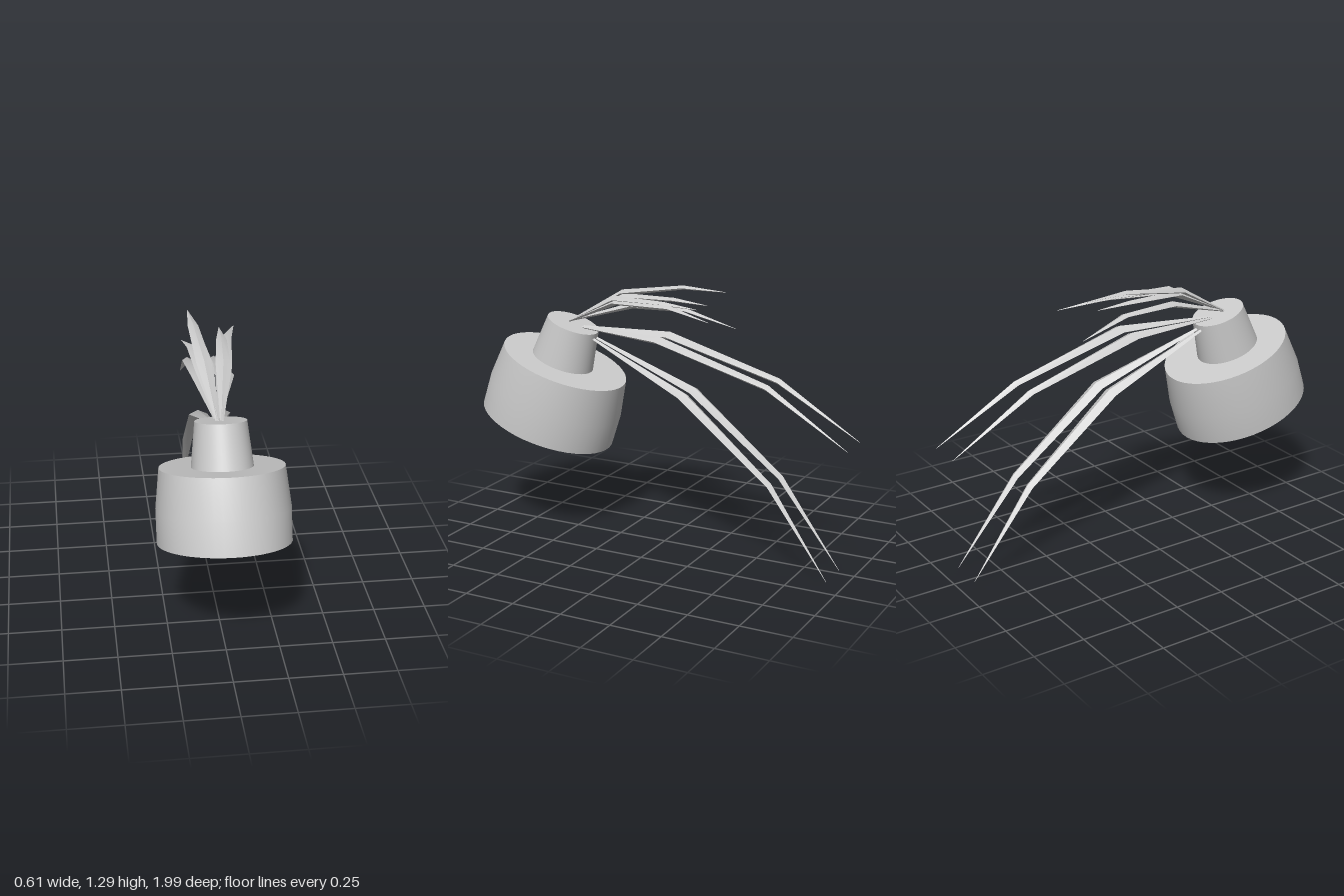
import * as THREE from 'three';
import { toCreasedNormals } from 'three/addons/utils/BufferGeometryUtils.js';

const material = new THREE.MeshStandardMaterial({ color: 0xcccccc, side: THREE.DoubleSide });

// Closed, slightly oval turned solid from [radius, height] pairs
function turned(name, profile) {
  const points = profile.map(([r, y]) => new THREE.Vector2(r, y));
  const geometry = new THREE.LatheGeometry(points, 48).scale(0.87, 1, 1);
  const mesh = new THREE.Mesh(toCreasedNormals(geometry, 0.6), material);
  mesh.name = name;
  return mesh;
}

// Tapering diamond-section blade through [x, y, z] stations
function feather(name, stations, widths, depths) {
  const path = stations.map((s) => new THREE.Vector3(...s));
  const positions = [];
  const index = [];
  path.forEach((p, i) => {
    const before = path[Math.max(i - 1, 0)];
    const after = path[Math.min(i + 1, path.length - 1)];
    const tangent = after.clone().sub(before).normalize();
    const side = new THREE.Vector3(1, 0, 0).addScaledVector(tangent, -tangent.x).normalize();
    const up = new THREE.Vector3().crossVectors(side, tangent);
    if (up.y < 0) up.negate();
    for (let k = 0; k < 4; k++) {
      const a = (k * Math.PI) / 2;
      const v = p.clone()
        .addScaledVector(side, Math.cos(a) * widths[i] / 2)
        .addScaledVector(up, Math.sin(a) * depths[i] / 2);
      positions.push(v.x, v.y, v.z);
      if (i > 0) {
        const n = (k + 1) % 4, q = (i - 1) * 4, r = i * 4;
        index.push(q + k, q + n, r + n, q + k, r + n, r + k);
      }
    }
  });
  const geometry = new THREE.BufferGeometry();
  geometry.setAttribute('position', new THREE.Float32BufferAttribute(positions, 3));
  geometry.setIndex(index);
  const mesh = new THREE.Mesh(toCreasedNormals(geometry, 0.6), material);
  mesh.name = name;
  return mesh;
}

export function createModel() {
  const model = new THREE.Group();

  // Tilted drum with a narrower neck on top
  const base = new THREE.Group();
  base.name = 'base';
  base.position.set(0, 0.537, 0.667);
  base.rotation.x = -0.32;
  const drum = turned('drum', [[0, 0], [0.351, 0], [0.351, 0.155], [0.326, 0.342], [0, 0.342]]);
  const neck = turned('neck', [[0, 0.335], [0.162, 0.335], [0.135, 0.547], [0, 0.547]]);
  neck.position.z = 0.015;
  base.add(drum, neck);
  model.add(base);

  // Two pairs of long drooping feathers
  const longWidths = [0.012, 0.09, 0.052, 0.002];
  const longDepths = [0.01, 0.04, 0.03, 0.002];
  const pairs = [
    ['lowerLongFeather', [[1.02, 0.46], [0.785, -0.14], [0.415, -0.6], [0, -0.91]]],
    ['upperLongFeather', [[1.045, 0.46], [1.045, -0.01], [0.885, -0.58], [0.645, -0.99]]],
  ];
  const courses = { Right: [-0.02, -0.03, -0.037, -0.035], Left: [0.0, 0.085, 0.1, 0.13] };
  for (const [name, course] of pairs) {
    for (const [sideName, xs] of Object.entries(courses)) {
      const stations = course.map(([y, z], i) => [xs[i], y, z]);
      model.add(feather(name + sideName, stations, longWidths, longDepths));
    }
  }

  // Short upright crest fanning out from the neck
  const crest = [
    [[-0.02, 1.07, 0.53], [-0.045, 1.23, 0.25], [-0.06, 1.28, -0.07], [-0.065, 1.275, -0.29]],
    [[-0.015, 1.07, 0.53], [-0.035, 1.215, 0.24], [-0.04, 1.22, -0.03], [-0.03, 1.21, -0.21]],
    [[0.0, 1.07, 0.53], [0.045, 1.215, 0.24], [0.07, 1.22, -0.03], [0.08, 1.21, -0.21]],
    [[0.005, 1.07, 0.53], [0.05, 1.2, 0.24], [0.1, 1.21, -0.08], [0.165, 1.175, -0.31]],
    [[-0.02, 1.07, 0.53], [-0.045, 1.17, 0.2], [-0.065, 1.17, -0.08], [-0.09, 1.1, -0.33]],
  ];
  crest.forEach((stations, i) => {
    model.add(feather(`crestFeather${i + 1}`, stations, [0.012, 0.07, 0.05, 0.002], [0.01, 0.03, 0.02, 0.002]));
  });

  return model;
}
